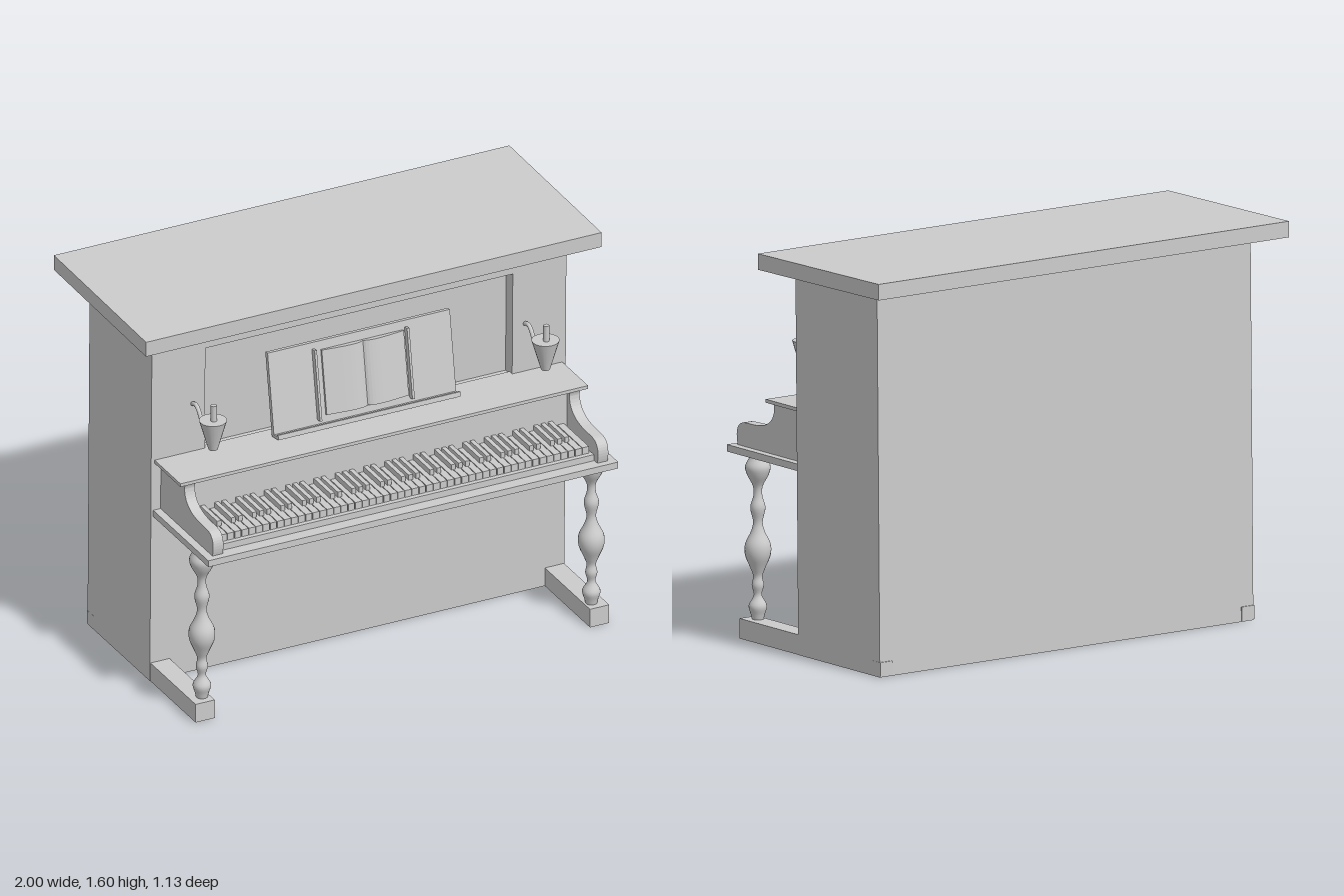
import * as THREE from 'three';

const material = new THREE.MeshStandardMaterial({ color: 0xcccccc });
const doubleMaterial = new THREE.MeshStandardMaterial({ color: 0xcccccc, side: THREE.DoubleSide });

function add(parent, name, geometry, mat = material) {
  const mesh = new THREE.Mesh(geometry, mat);
  mesh.name = name;
  parent.add(mesh);
  return mesh;
}

// Box given by its limits on each axis
function box(parent, name, [x0, x1], [y0, y1], [z0, z1]) {
  const geometry = new THREE.BoxGeometry(x1 - x0, y1 - y0, z1 - z0);
  geometry.translate((x0 + x1) / 2, (y0 + y1) / 2, (z0 + z1) / 2);
  return add(parent, name, geometry);
}

const smoothLathe = (points, segments) => {
  const curve = new THREE.SplineCurve(points.map(([r, y]) => new THREE.Vector2(r, y)));
  return new THREE.LatheGeometry(curve.getPoints(points.length * 4), segments);
};

// The cabinet leans forward very slightly towards the top
function lean(geometry) {
  const p = geometry.attributes.position;
  for (let i = 0; i < p.count; i++) p.setZ(i, p.getZ(i) + 0.012 * p.getY(i));
  geometry.computeVertexNormals();
}

function buildCabinet(model) {
  const cabinet = new THREE.Group();
  cabinet.name = 'cabinet';
  model.add(cabinet);
  lean(box(cabinet, 'caseBody', [-0.91, 0.91], [0, 1.535], [-0.452, 0.025]).geometry);

  // Front frame with an opening for the sunken upper panel
  const frame = new THREE.Shape([[-0.91, 0], [0.91, 0], [0.91, 1.535], [-0.91, 1.535]].map(p => new THREE.Vector2(...p)));
  frame.holes.push(new THREE.Path([[-0.675, 0.97], [-0.675, 1.425], [0.675, 1.425], [0.675, 0.97]].map(p => new THREE.Vector2(...p))));
  const frameGeometry = new THREE.ExtrudeGeometry(frame, { depth: 0.057, bevelEnabled: false });
  frameGeometry.translate(0, 0, 0.025);
  lean(frameGeometry);
  add(cabinet, 'frontFrame', frameGeometry);

  const lid = add(cabinet, 'lid', new THREE.BoxGeometry(2, 0.064, 0.79));
  lid.position.set(0, 1.563, -0.17);
  lid.rotation.x = 0.014;
  for (const s of [-1, 1]) {
    const corner = box(cabinet, 'backCornerBlock', [-0.03, 0.03], [0.005, 0.06], [-0.456, -0.4]);
    corner.position.x = s * 0.881;
  }
}

function buildKeyboard(model) {
  const keyboard = new THREE.Group();
  keyboard.name = 'keyboard';
  model.add(keyboard);
  box(keyboard, 'keybed', [-0.9, 0.9], [0.73, 0.758], [0.07, 0.563]);
  box(keyboard, 'keySlip', [-0.82, 0.82], [0.757, 0.785], [0.08, 0.51]);
  box(keyboard, 'fallboard', [-0.83, 0.83], [0.78, 0.968], [0.08, 0.275]);
  box(keyboard, 'shelf', [-0.895, 0.895], [0.966, 0.98], [0.07, 0.315]);

  // Scrolled cheeks at both ends
  const cheek = new THREE.Shape();
  cheek.moveTo(0.08, 0.757);
  cheek.lineTo(0.535, 0.757);
  cheek.bezierCurveTo(0.55, 0.81, 0.54, 0.85, 0.49, 0.853);
  cheek.lineTo(0.42, 0.855);
  cheek.bezierCurveTo(0.34, 0.858, 0.3, 0.89, 0.296, 0.94);
  cheek.quadraticCurveTo(0.297, 0.96, 0.31, 0.967);
  cheek.lineTo(0.08, 0.967);
  const cheekGeometry = new THREE.ExtrudeGeometry(cheek, { depth: 0.045, bevelEnabled: false, curveSegments: 10 });
  cheekGeometry.translate(0, 0, -0.0225);
  cheekGeometry.rotateY(-Math.PI / 2);
  for (const s of [-1, 1]) add(keyboard, 'cheek', cheekGeometry).position.x = s * 0.845;

  // 52 white keys starting on A, black keys between them except after B and E
  const pitch = 1.62 / 52;
  for (let i = 0; i < 52; i++) {
    const x = -0.81 + i * pitch;
    box(keyboard, 'whiteKey', [x + 0.0015, x + pitch - 0.0015], [0.784, 0.815], [0.27, 0.49]);
    if (i < 51 && ![1, 4].includes(i % 7)) {
      const c = x + pitch;
      box(keyboard, 'blackKey', [c - 0.009, c + 0.009], [0.812, 0.838], [0.27, 0.42]);
    }
  }
}

function buildLegs(model) {
  const geometry = smoothLathe([
    [0.022, 0.075], [0.028, 0.1], [0.036, 0.135], [0.016, 0.175], [0.024, 0.215], [0.018, 0.25],
    [0.03, 0.285], [0.05, 0.335], [0.05, 0.38], [0.027, 0.43], [0.019, 0.47], [0.03, 0.525],
    [0.018, 0.57], [0.019, 0.61], [0.042, 0.655], [0.05, 0.69], [0.035, 0.722], [0.03, 0.735]], 20);
  for (const s of [-1, 1]) {
    add(model, 'turnedLeg', geometry, doubleMaterial).position.set(s * 0.855, 0, 0.42);
    box(model, 'foot', [-0.042, 0.042], [0, 0.08], [0.07, 0.47]).position.x = s * 0.866;
  }
}

function buildMusicDesk(model) {
  const desk = new THREE.Group();
  desk.name = 'musicDesk';
  desk.position.set(0, 0.985, 0.142);
  desk.rotation.x = -0.16;
  model.add(desk);
  box(desk, 'deskBoard', [-0.4, 0.4], [0, 0.352], [-0.01, 0.01]);
  for (const s of [-1, 1]) {
    box(desk, 'bookRail', [-0.005, 0.005], [0.03, 0.325], [0.008, 0.034]).position.x = s * 0.203;
  }
  box(desk, 'deskLedge', [-0.4, 0.4], [0, 0.012], [0.008, 0.048]);
  box(desk, 'ledgeLip', [-0.4, 0.4], [0.01, 0.02], [0.038, 0.048]);

  // Open book with two curved pages
  const book = new THREE.Shape();
  book.moveTo(-0.18, 0.009);
  book.lineTo(0.18, 0.009);
  book.lineTo(0.18, 0.02);
  book.bezierCurveTo(0.12, 0.028, 0.03, 0.05, 0, 0.02);
  book.bezierCurveTo(-0.03, 0.05, -0.12, 0.028, -0.18, 0.02);
  const bookGeometry = new THREE.ExtrudeGeometry(book, { depth: 0.27, bevelEnabled: false, curveSegments: 12 });
  bookGeometry.rotateX(Math.PI / 2);
  bookGeometry.translate(0.01, 0.315, 0);
  add(desk, 'openBook', bookGeometry);
}

function buildCandleHolders(model) {
  const cup = new THREE.CylinderGeometry(0.055, 0.018, 0.128, 20);
  const candle = new THREE.CylinderGeometry(0.012, 0.012, 0.08, 12);
  const path = new THREE.CatmullRomCurve3([[0.25, 1.15], [0.215, 1.145], [0.18, 1.148], [0.15, 1.185], [0.125, 1.2], [0.08, 1.185]]
    .map(([z, y]) => new THREE.Vector3(0, y, z)));
  const arm = new THREE.TubeGeometry(path, 20, 0.009, 8);
  for (const s of [-1, 1]) {
    const holder = new THREE.Group();
    holder.name = 'candleHolder';
    holder.position.x = s * 0.73;
    add(holder, 'candleCup', cup).position.set(0, 1.138, 0.272);
    add(holder, 'candle', candle).position.set(0, 1.23, 0.278);
    add(holder, 'bracketArm', arm);
    model.add(holder);
  }
}

// Small latch under the keybed
function buildLatch(model) {
  const latch = new THREE.Group();
  latch.name = 'latch';
  latch.position.set(0, 0.605, 0.25);
  latch.rotation.x = 0.45;
  model.add(latch);
  for (const y of [-0.033, 0.033]) box(latch, 'latchPlate', [0.545, 0.67], [y - 0.008, y + 0.008], [-0.018, 0.018]);
  box(latch, 'latchEnd', [0.545, 0.565], [-0.033, 0.033], [-0.018, 0.018]);
  box(latch, 'latchBar', [0.61, 0.75], [-0.018, 0.018], [-0.042, 0.042]);
}

export function createModel() {
  const model = new THREE.Group();
  model.name = 'uprightPiano';
  buildCabinet(model);
  buildKeyboard(model);
  buildLegs(model);
  buildMusicDesk(model);
  buildCandleHolders(model);
  buildLatch(model);
  return model;
}
